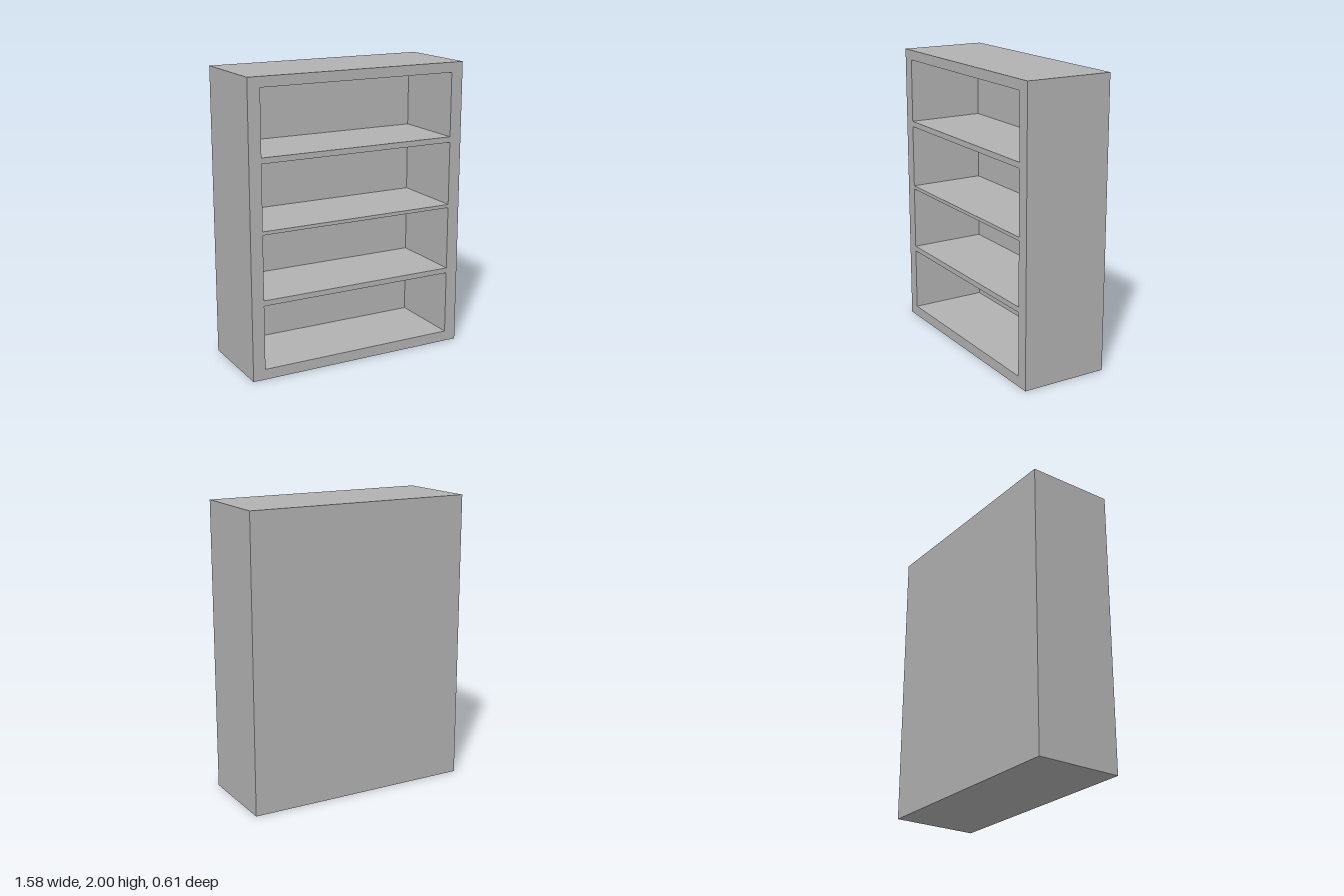
import * as THREE from 'three';

const W = 1.584, H = 2, D = 0.608;   // overall size
const BACK = 0.065;                  // back panel thickness
const OPEN_X = 0.706;                // half width of each bay
const BAYS = [[0.072, 0.512], [0.549, 0.989], [1.013, 1.452], [1.491, 1.931]]; // bottom and top of each bay

// Rectangle traced on a shape or path
function rect(path, x0, y0, x1, y1) {
  path.moveTo(x0, y0);
  path.lineTo(x1, y0);
  path.lineTo(x1, y1);
  path.lineTo(x0, y1);
  path.closePath();
  return path;
}

export function createModel() {
  const group = new THREE.Group();
  group.name = 'bookcase';
  const grey = new THREE.MeshStandardMaterial({ color: 0xb2b2b2 });
  grey.name = 'grey';

  // Carcass: sides, top, base and shelves as one outline with four open bays
  const outline = rect(new THREE.Shape(), -W / 2, 0, W / 2, H);
  for (const [y0, y1] of BAYS) outline.holes.push(rect(new THREE.Path(), -OPEN_X, y0, OPEN_X, y1));
  const carcass = new THREE.Mesh(
    new THREE.ExtrudeGeometry(outline, { depth: D - BACK, bevelEnabled: false }), grey);
  carcass.name = 'shelfCarcass';
  carcass.position.z = -D / 2 + BACK;
  group.add(carcass);

  // Back panel closing the bays
  const back = new THREE.Mesh(new THREE.BoxGeometry(W, H, BACK), grey);
  back.name = 'backPanel';
  back.position.set(0, H / 2, -D / 2 + BACK / 2);
  group.add(back);

  return group;
}
